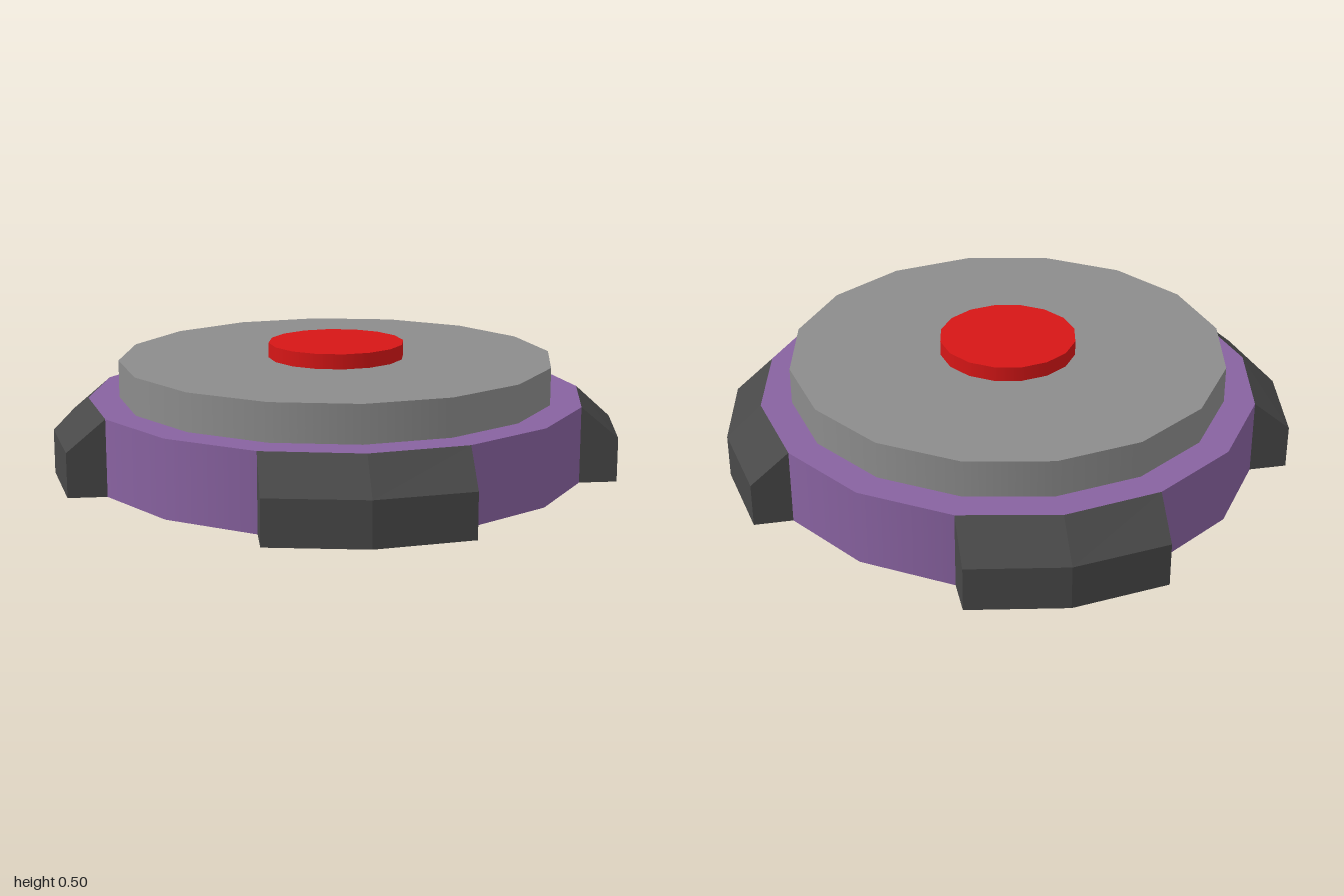
import * as THREE from 'three';

const material = (color, flatShading = false) => new THREE.MeshStandardMaterial({ color, flatShading });

// Point on a ring: angle in degrees from +z towards +x
const polar = (r, deg, y) => {
  const a = THREE.MathUtils.degToRad(deg);
  return [r * Math.sin(a), y, r * Math.cos(a)];
};

// Geometry from four-cornered faces
function quads(faces) {
  const pos = faces.flatMap(([a, b, c, d]) => [a, b, c, a, c, d]).flat();
  const g = new THREE.BufferGeometry();
  g.setAttribute('position', new THREE.Float32BufferAttribute(pos, 3));
  g.computeVertexNormals();
  return g;
}

export function createModel() {
  const group = new THREE.Group();
  const purple = 0x8862a0, dark = 0x484848;

  // Stacked 16-sided discs
  const disc = (name, r, y0, y1, color) => {
    const mesh = new THREE.Mesh(new THREE.CylinderGeometry(r, r, y1 - y0, 16), material(color));
    mesh.position.y = (y0 + y1) / 2;
    mesh.name = name;
    group.add(mesh);
  };
  disc('base', 0.97, 0, 0.297, purple);
  disc('topPlate', 0.85, 0.297, 0.442, 0x8c8c8c);
  disc('button', 0.266, 0.442, 0.5, 0xd61616);

  // Grip cross-sections: inner bottom, outer bottom, outer shoulder, inner top
  const sections = [-1, 0, 1].map((s) => [
    polar(0.97, 22.5 * s, 0),
    polar(1.108, 19.6 * s, 0),
    polar(1.108, 19.6 * s, 0.172),
    polar(0.97, 22.5 * s, 0.297),
  ]);
  const strip = (k) => [0, 1].map((i) => [
    sections[i][k], sections[i + 1][k], sections[i + 1][k + 1], sections[i][k + 1],
  ]);
  const gripGeometry = quads([
    ...strip(1), ...strip(2), sections[0], [...sections[2]].reverse(),
  ]);
  const undersideGeometry = quads(strip(0));

  // Four grips on the diagonals, with undersides in the base colour
  for (let i = 0; i < 4; i++) {
    const grip = new THREE.Group();
    grip.name = 'grip' + (i + 1);
    const body = new THREE.Mesh(gripGeometry, material(dark, true));
    body.name = 'gripBody';
    const underside = new THREE.Mesh(undersideGeometry, material(purple, true));
    underside.name = 'gripUnderside';
    grip.add(body, underside);
    grip.rotation.y = Math.PI / 4 + (i * Math.PI) / 2;
    group.add(grip);
  }
  return group;
}
